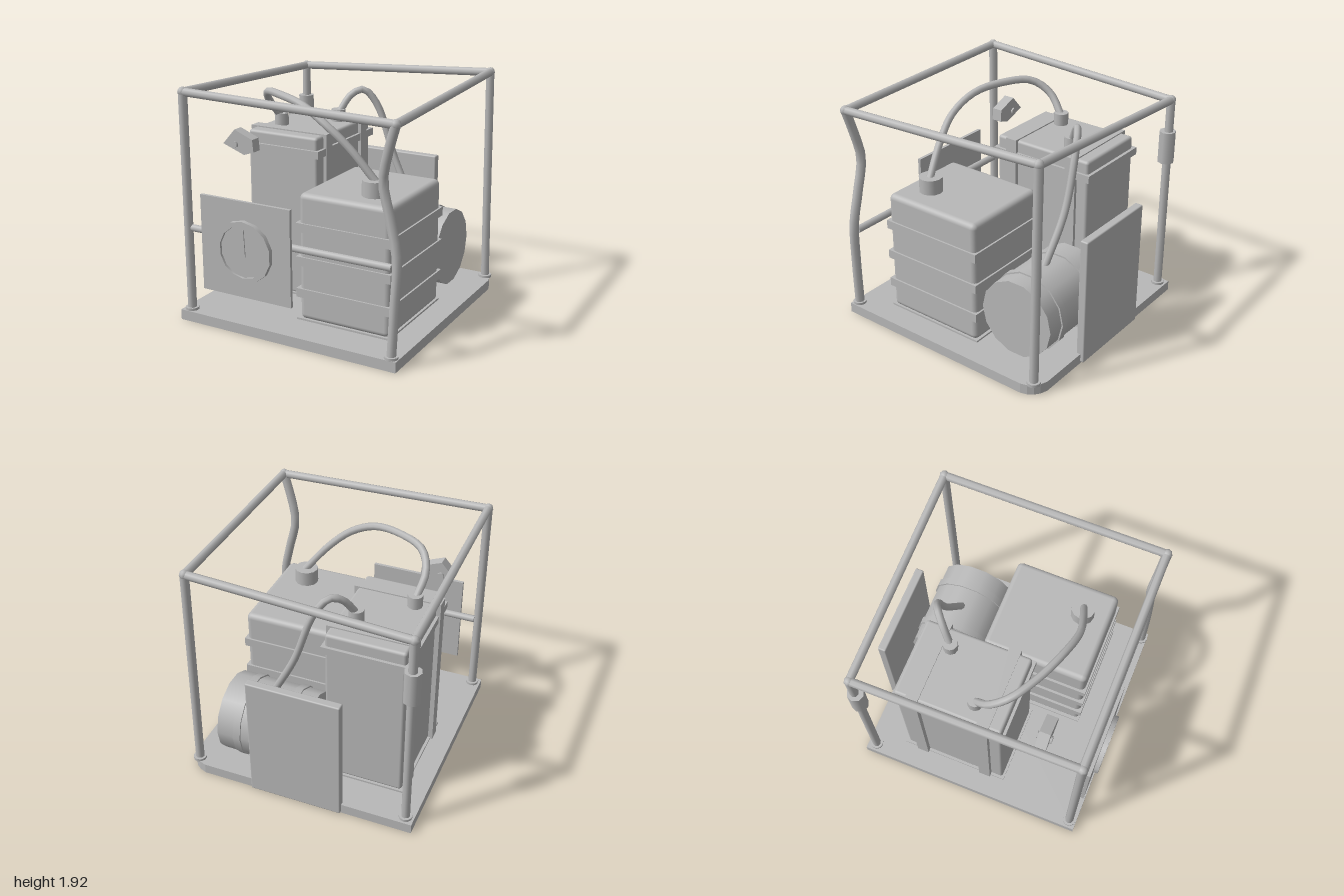
import * as THREE from 'three';
import { RoundedBoxGeometry } from 'three/addons/geometries/RoundedBoxGeometry.js';

export function createModel() {
  const model = new THREE.Group();
  model.name = 'cagedMachine';
  const grey = new THREE.MeshStandardMaterial({ color: 0xb8b8b8 });
  grey.name = 'plain grey';
  const V = (x, y, z) => new THREE.Vector3(x, y, z);

  const add = (name, geometry) => {
    const mesh = new THREE.Mesh(geometry, grey);
    mesh.name = name;
    model.add(mesh);
    return mesh;
  };
  // Box given by its limits, with optional rounded edges
  const box = (name, [x0, x1], [y0, y1], [z0, z1], r = 0) => {
    const s = [x1 - x0, y1 - y0, z1 - z0];
    const g = r ? new RoundedBoxGeometry(...s, 3, r) : new THREE.BoxGeometry(...s);
    g.translate((x0 + x1) / 2, (y0 + y1) / 2, (z0 + z1) / 2);
    return add(name, g);
  };
  // Round bar between two points
  const rod = (name, a, b, r, sides = 8) => {
    const mesh = add(name, new THREE.CylinderGeometry(r, r, a.distanceTo(b), sides));
    mesh.position.copy(a).lerp(b, 0.5);
    mesh.quaternion.setFromUnitVectors(V(0, 1, 0), b.clone().sub(a).normalize());
    return mesh;
  };
  const tube = (name, pts, r, segments) =>
    add(name, new THREE.TubeGeometry(
      new THREE.CatmullRomCurve3(pts.map(p => V(...p))), segments, r, 8));

  // Base plate with one cut corner
  const plate = new THREE.Shape();
  plate.moveTo(-0.97, -0.97);
  plate.lineTo(0.965, -0.97);
  plate.lineTo(0.965, 0.82);
  plate.quadraticCurveTo(0.95, 0.94, 0.82, 0.97);
  plate.lineTo(-0.97, 0.97);
  add('basePlate', new THREE.ExtrudeGeometry(plate,
    { depth: 0.085, bevelEnabled: false, curveSegments: 4 }).rotateX(-Math.PI / 2));

  // Cage: top frame with uneven corners, posts, feet
  const top = [V(-0.9, 1.87, 0.91), V(0.91, 1.83, 0.91), V(0.87, 1.885, -0.9), V(-0.9, 1.785, -0.9)];
  const foot = [V(-0.9, 0.08, 0.91), V(0.905, 0.08, 0.92), V(0.9, 0.08, -0.9), V(-0.9, 0.08, -0.9)];
  top.forEach((p, i) => {
    rod('topRail', p, top[(i + 1) % 4], 0.034);
    add('cornerJoint', new THREE.SphereGeometry(0.04, 8, 6)).position.copy(p);
    rod('postFoot', foot[i], foot[i].clone().setY(0.105), 0.055, 10);
    if (i !== 1) rod('post', foot[i], p, 0.036);
  });
  tube('bentPost', [[0.905, 0.08, 0.92], [0.92, 0.5, 0.91], [0.925, 0.85, 0.895],
    [0.865, 1.13, 0.885], [0.805, 1.4, 0.885], [0.85, 1.63, 0.9], [0.91, 1.83, 0.91]], 0.038, 18);
  rod('frontRail', V(-0.87, 0.78, 0.9), V(0.89, 0.78, 0.9), 0.03);
  rod('postSleeve', V(-0.9, 1.245, -0.89), V(-0.9, 1.515, -0.89), 0.068);

  // Tank with three straps and a filler neck
  box('tank', [-0.035, 0.755], [0.09, 1.13], [-0.225, 0.662], 0.045);
  box('tankPad', [-0.055, 0.76], [0.08, 0.1], [-0.235, 0.67]);
  for (const y of [0.28, 0.545, 0.82])
    box('tankStrap', [-0.055, 0.77], [y, y + 0.073], [-0.24, 0.677]);
  rod('tankNeck', V(0.5, 1.11, 0.43), V(0.5, 1.255, 0.43), 0.097, 12);

  // Tall cell with a belt, two upright straps and two terminals
  box('cell', [-0.77, -0.12], [0.09, 1.45], [-0.647, 0.237], 0.025);
  box('cellPad', [-0.79, -0.1], [0.08, 0.1], [-0.665, 0.255]);
  box('cellBelt', [-0.795, -0.097], [1.285, 1.347], [-0.672, 0.26]);
  for (const z of [-0.545, 0.035])
    box('cellStrap', [-0.808, -0.092], [0.085, 1.46], [z, z + 0.1]);
  for (const [x, z] of [[-0.275, -0.383], [-0.62, -0.035]])
    rod('terminal', V(x, 1.44, z), V(x, 1.55, z), 0.06, 10);

  // Lying drum with raised bands
  const drum = (name, x0, x1, r) =>
    rod(name, V(x0, 0.425, -0.585), V(x1, 0.425, -0.585), r, 14);
  drum('drum', -0.02, 0.71, 0.325);
  for (const x of [0.12, 0.505]) drum('drumBand', x, x + 0.062, 0.338);

  // Hoses
  tube('longHose', [[-0.62, 1.51, -0.04], [-0.65, 1.68, 0.1], [-0.57, 1.785, 0.24],
    [-0.35, 1.8, 0.375], [-0.1, 1.765, 0.47], [0.13, 1.645, 0.51],
    [0.32, 1.475, 0.48], [0.51, 1.24, 0.43]], 0.031, 28);
  tube('shortHose', [[-0.275, 1.51, -0.383], [-0.2, 1.665, -0.47], [-0.12, 1.705, -0.54],
    [-0.02, 1.58, -0.595], [0.14, 1.13, -0.62], [0.35, 0.72, -0.587]], 0.03, 24);

  // Panels
  box('backPanel', [-0.388, 0.385], [0.012, 1.09], [-1.0, -0.93], 0.012);
  box('frontPanel', [-0.735, 0.075], [0.315, 1.095], [0.935, 0.962]);

  // Dial: raised rim around a sunken face, with a needle
  const rim = [[0.25, 0], [0.25, 0.04], [0.21, 0.04], [0.21, 0.02], [0, 0.02]];
  const profile = [];
  rim.forEach(([r, h], i) => {
    profile.push(new THREE.Vector2(r, h));
    if (i > 0 && i < 4) profile.push(new THREE.Vector2(r, h));
  });
  const dial = add('dial', new THREE.LatheGeometry(profile, 14).rotateX(Math.PI / 2));
  dial.position.set(-0.33, 0.7, 0.96);
  const needle = new THREE.Shape([[-0.016, 0.66], [0.016, 0.66], [0.005, 0.88], [-0.005, 0.88]]
    .map(p => new THREE.Vector2(...p)));
  add('needle', new THREE.ExtrudeGeometry(needle, { depth: 0.009, bevelEnabled: false }))
    .position.set(-0.33, 0, 0.98);

  // Loose five-sided bracket with a bolt
  const bracket = new THREE.Shape([[-0.77, 1.41], [-0.575, 1.34], [-0.485, 1.37],
    [-0.495, 1.47], [-0.66, 1.535]].map(p => new THREE.Vector2(...p)));
  add('bracket', new THREE.ExtrudeGeometry(bracket, { depth: 0.09, bevelEnabled: false }))
    .position.z = 0.5;
  rod('bracketBolt', V(-0.657, 1.415, 0.485), V(-0.657, 1.415, 0.607), 0.03, 6);

  return model;
}
